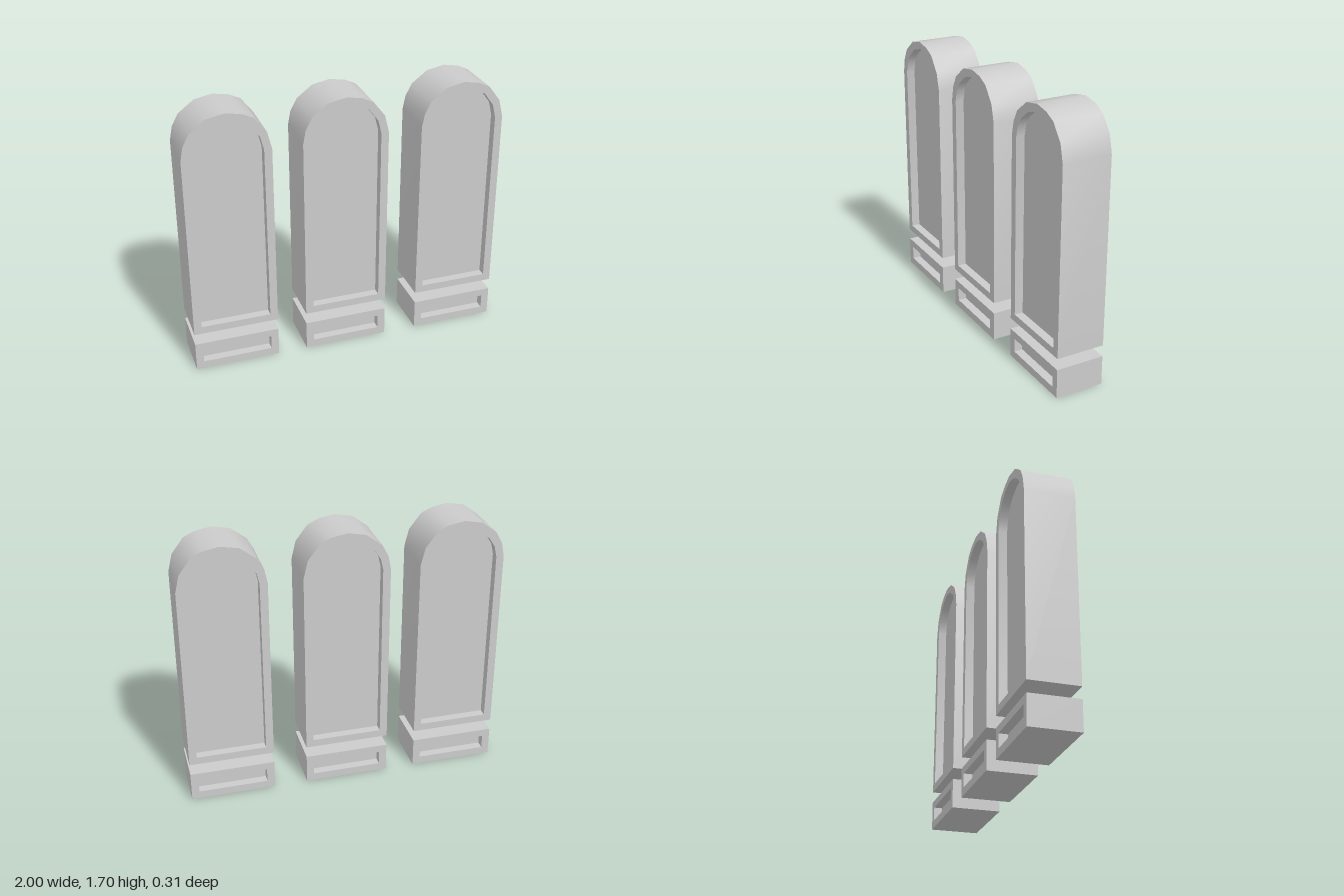
import * as THREE from 'three';
import { toCreasedNormals } from 'three/addons/utils/BufferGeometryUtils.js';

const DEPTH = 0.31;   // full thickness, front to back
const RECESS = 0.055; // depth of the sunken panels

const material = new THREE.MeshStandardMaterial({ color: 0xcccccc });

// Outlines run counter-clockwise, x relative to the middle of the bay
const archOuter = [
  [-0.267, 0.26], [0.267, 0.26], [0.267, 1.44], [0.24, 1.55], [0.166, 1.647],
  [0.096, 1.68], [0, 1.697], [-0.112, 1.675], [-0.21, 1.6], [-0.25, 1.525], [-0.267, 1.44],
];
const archInner = [
  [-0.219, 0.308], [0.219, 0.308], [0.219, 1.44], [0.198, 1.524], [0.139, 1.604],
  [0.075, 1.636], [0, 1.652], [-0.09, 1.626], [-0.166, 1.567], [-0.203, 1.51], [-0.219, 1.44],
];
const rectangle = (w, y0, y1) => [[-w, y0], [w, y0], [w, y1], [-w, y1]];

const toPoints = (list) => list.map(([x, y]) => new THREE.Vector2(x, y));

// A frame with a sunken panel on the front and on the back
function recessedBlock(name, outer, inner) {
  const group = new THREE.Group();
  group.name = name;

  const ring = new THREE.Shape(toPoints(outer));
  ring.holes.push(new THREE.Path(toPoints(inner).reverse()));
  const frameGeometry = new THREE.ExtrudeGeometry(ring, { depth: DEPTH, bevelEnabled: false });
  frameGeometry.translate(0, 0, -DEPTH / 2);
  const frame = new THREE.Mesh(toCreasedNormals(frameGeometry, 0.6), material);
  frame.name = name + 'Frame';
  group.add(frame);

  const thickness = DEPTH - 2 * RECESS;
  const panelGeometry = new THREE.ExtrudeGeometry(new THREE.Shape(toPoints(inner)), {
    depth: thickness, bevelEnabled: false,
  });
  panelGeometry.translate(0, 0, -thickness / 2);
  const panel = new THREE.Mesh(panelGeometry, material);
  panel.name = name + 'Panel';
  group.add(panel);
  return group;
}

export function createModel() {
  const model = new THREE.Group();
  model.name = 'archedPanels';

  // Three bays, each an arched panel floating above a low plinth
  [-0.733, -0.013, 0.733].forEach((x, i) => {
    const bay = new THREE.Group();
    bay.name = 'bay' + (i + 1);
    bay.position.x = x;
    bay.add(recessedBlock('arch', archOuter, archInner));
    bay.add(recessedBlock('plinth', rectangle(0.267, 0, 0.187), rectangle(0.219, 0.05, 0.139)));
    model.add(bay);
  });
  return model;
}
